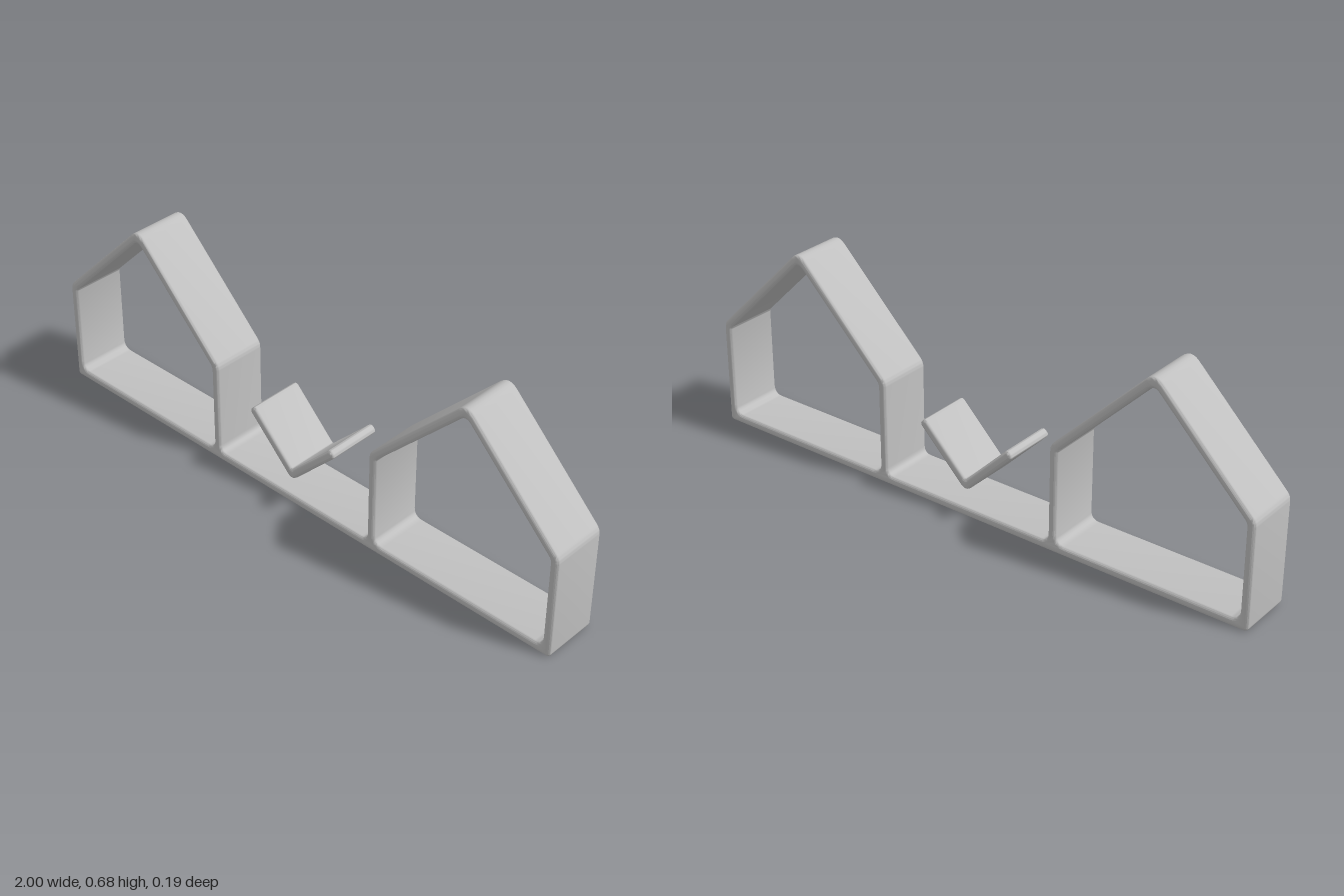
import * as THREE from 'three';
import { toCreasedNormals } from 'three/addons/utils/BufferGeometryUtils.js';

const DEPTH = 0.19, BEVEL = 0.009;

// Closed outline from [x, y, cornerRadius] points
function rounded(points, path) {
  const n = points.length;
  points.forEach(([x, y, r], i) => {
    const corner = new THREE.Vector2(x, y);
    const a = new THREE.Vector2(...points[(i + n - 1) % n]).sub(corner).normalize();
    const b = new THREE.Vector2(...points[(i + 1) % n]).sub(corner).normalize();
    const t = r / Math.tan(Math.acos(a.dot(b)) / 2);
    const p = corner.clone().addScaledVector(a, t);
    const q = corner.clone().addScaledVector(b, t);
    if (i === 0) path.moveTo(p.x, p.y);
    else path.lineTo(p.x, p.y);
    path.quadraticCurveTo(x, y, q.x, q.y);
  });
  path.closePath();
  return path;
}

// Mirror a half outline across x = 0, keeping the running order
const mirror = (pts) => pts.map(([x, y, r]) => [-x, y, r]).reverse();

// Band of constant depth with softly rounded front and back edges
function band(shape, material, name) {
  const geo = new THREE.ExtrudeGeometry(shape, {
    depth: DEPTH - 2 * BEVEL, curveSegments: 6,
    bevelEnabled: true, bevelThickness: BEVEL, bevelSize: BEVEL,
    bevelOffset: -BEVEL, bevelSegments: 3,
  });
  geo.translate(0, 0, -DEPTH / 2 + BEVEL);
  const mesh = new THREE.Mesh(toCreasedNormals(geo, 0.7), material);
  mesh.name = name;
  return mesh;
}

export function createModel() {
  const group = new THREE.Group();
  group.name = 'twinHouseFrame';
  const grey = new THREE.MeshStandardMaterial({ color: 0xc0c0c0 });
  grey.name = 'light grey';

  // Base bar and both house outlines as one continuous frame
  const half = [
    [1, 0, 0.015], [1, 0.355, 0.04], [0.656, 0.699, 0.04],
    [0.312, 0.355, 0.04], [0.312, 0.03, 0.025],
  ];
  const frame = rounded([...half, ...mirror(half)], new THREE.Shape());

  // House openings
  const opening = [
    [0.34, 0.03, 0.03], [0.34, 0.343, 0.03], [0.656, 0.659, 0.025],
    [0.972, 0.343, 0.03], [0.972, 0.03, 0.03],
  ];
  frame.holes.push(rounded(opening, new THREE.Path()), rounded(mirror(opening), new THREE.Path()));
  group.add(band(frame, grey, 'houseFrame'));

  // Floating V between the houses
  const arm = [[0.178, 0.263, 0.013], [0.157, 0.284, 0.013]];
  const vee = rounded([[0, 0.085, 0.025], ...arm, [0, 0.127, 0.008], ...mirror(arm)], new THREE.Shape());
  group.add(band(vee, grey, 'centreVee'));

  return group;
}
